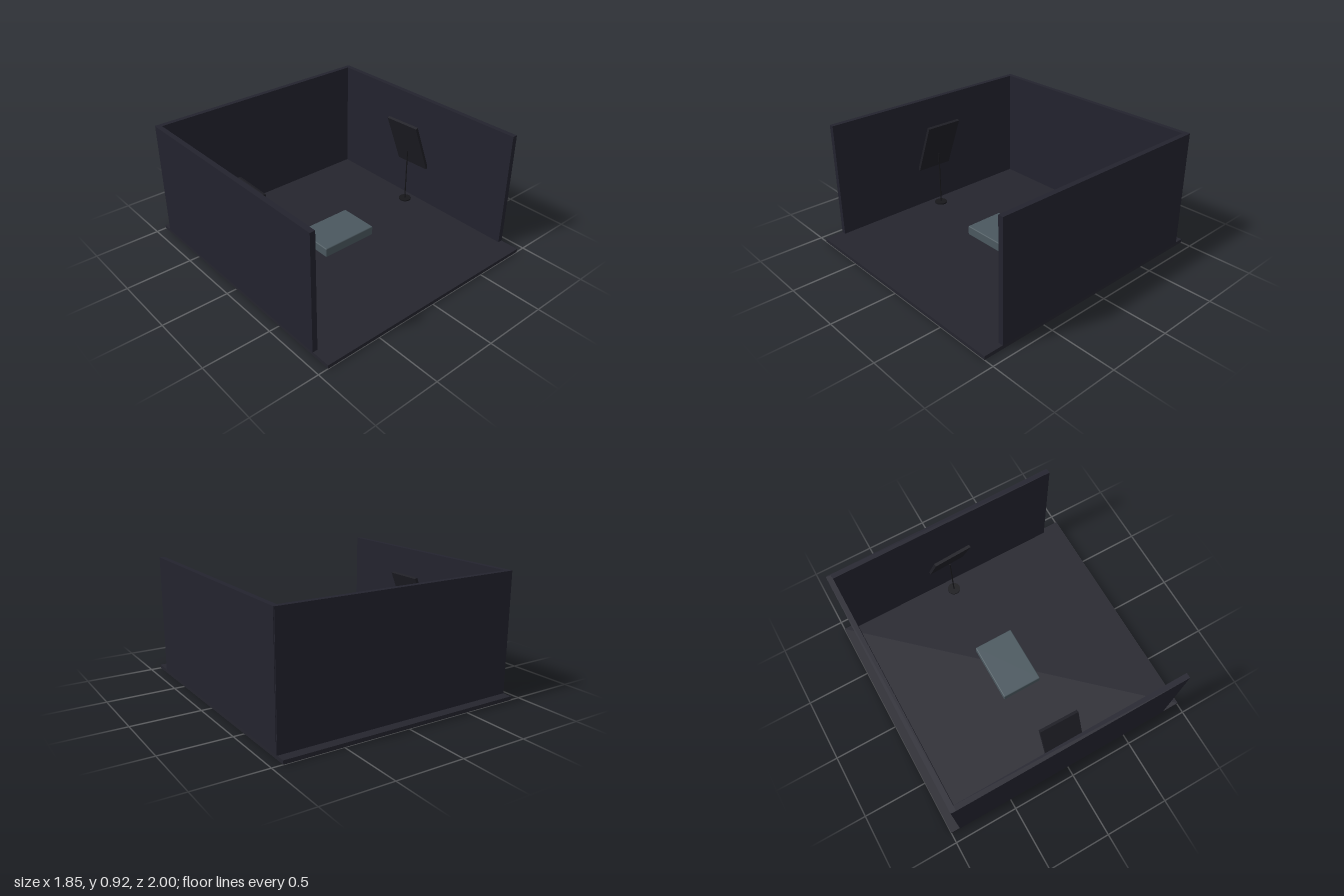
import * as THREE from 'three';
import { RoundedBoxGeometry } from 'three/addons/geometries/RoundedBoxGeometry.js';

const material = (name, color) => {
  const m = new THREE.MeshStandardMaterial({ color });
  m.name = name;
  return m;
};

export function createModel() {
  const model = new THREE.Group();
  model.name = 'room';
  const floorColor = material('dark floor', 0x25252e);
  const wallColor = material('dark wall', 0x23232e);
  const panelColor = material('dark panel', 0x1f1f26);
  const standColor = material('black stand', 0x17171b);
  const platformColor = material('slate platform', 0x4b585f);

  const add = (parent, name, geometry, mat, x, y, z) => {
    const mesh = new THREE.Mesh(geometry, mat);
    mesh.name = name;
    mesh.position.set(x, y, z);
    parent.add(mesh);
    return mesh;
  };
  const box = (w, h, d) => new THREE.BoxGeometry(w, h, d);

  // Floor slab and three walls, open to the front
  const floorTop = 0.027, wallHeight = 0.893, wallY = floorTop + wallHeight / 2;
  add(model, 'floor', box(1.846, floorTop, 2), floorColor, 0, floorTop / 2, 0);
  add(model, 'backWall', box(1.846, wallHeight, 0.038), wallColor, 0, wallY, -0.91);
  for (const [name, side] of [['leftWall', 1], ['rightWall', -1]]) {
    add(model, name, box(0.039, wallHeight, 1.775), wallColor, side * 0.907, wallY, -0.034);
  }

  // Low platform in the middle
  add(model, 'platform', new RoundedBoxGeometry(0.465, 0.075, 0.32, 2, 0.008),
    platformColor, -0.002, 0.0645, -0.005);

  // Tilted panels on thin stands beside the walls
  for (const [name, side, z, turn] of [['leftPanelStand', 1, -0.06, 0.05], ['rightPanelStand', -1, -0.02, -0.015]]) {
    const stand = new THREE.Group();
    stand.name = name;
    stand.position.set(side * 0.8, floorTop, z);
    model.add(stand);
    add(stand, 'base', new THREE.CylinderGeometry(0.05, 0.05, 0.01, 24), standColor, 0, 0.005, 0);
    add(stand, 'pole', new THREE.CylinderGeometry(0.005, 0.005, 0.45, 12), standColor, 0, 0.225, 0);
    const panel = add(stand, 'panel', box(0.022, 0.44, 0.295), panelColor, 0, 0.52, 0);
    panel.rotation.set(0, turn, side * 0.37);
  }
  return model;
}
